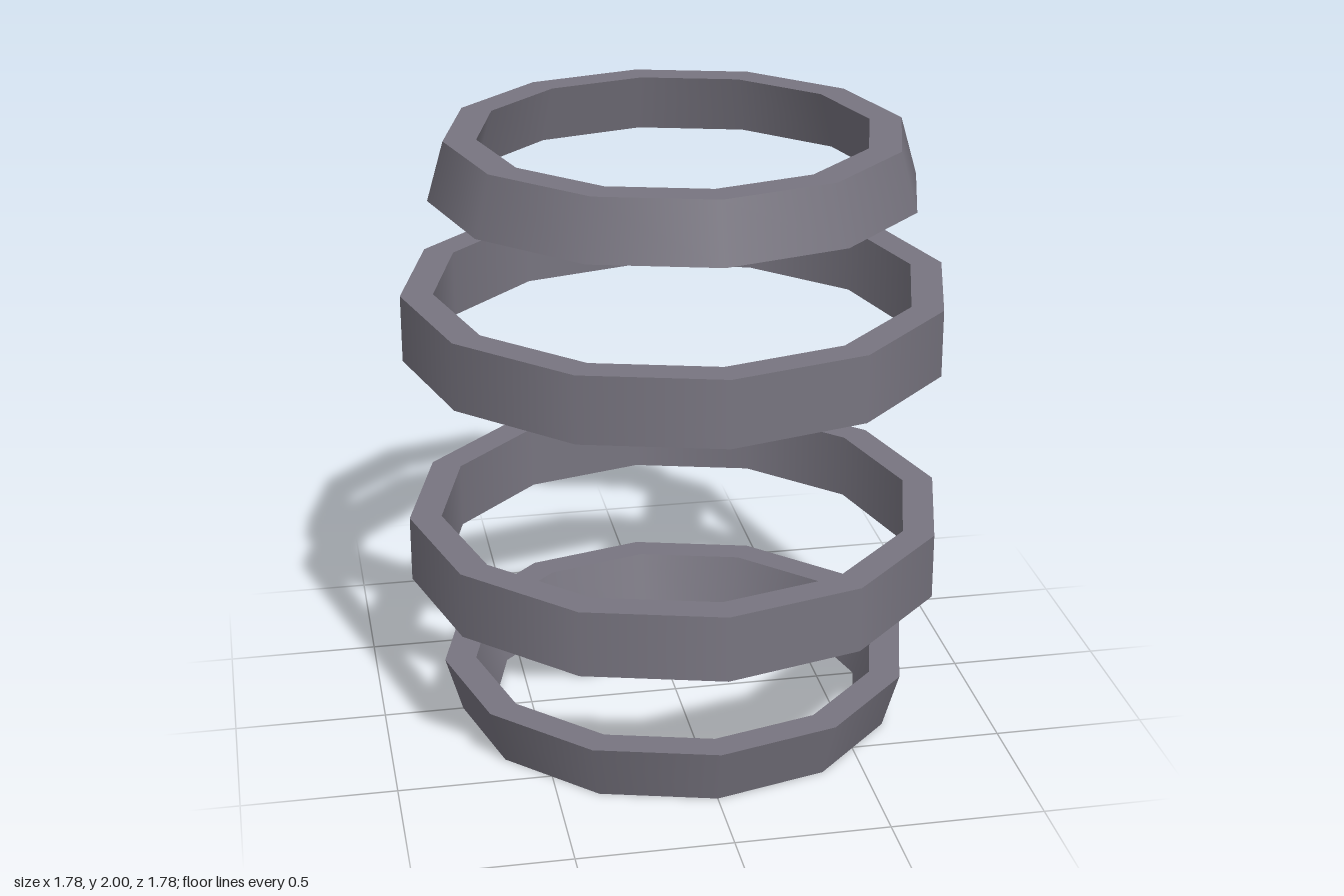
import * as THREE from 'three';
import { mergeGeometries } from 'three/addons/utils/BufferGeometryUtils.js';

const SIDES = 12;

// Ring with a four-cornered section; each wall is its own lathe so the rims stay sharp
function ringGeometry(yBottom, yTop, outerBottom, outerTop, wall) {
  const corners = [
    new THREE.Vector2(outerBottom, yBottom),
    new THREE.Vector2(outerTop, yTop),
    new THREE.Vector2(outerTop - wall, yTop),
    new THREE.Vector2(outerBottom - wall, yBottom),
  ];
  return mergeGeometries(corners.map((corner, i) =>
    new THREE.LatheGeometry([corner, corners[(i + 1) % 4]], SIDES)));
}

export function createModel() {
  const model = new THREE.Group();
  model.name = 'ringStack';
  const metal = new THREE.MeshStandardMaterial({ color: 0x787580 });
  metal.name = 'greyMetal';

  // name, bottom, top, outer radius at bottom, outer radius at top
  const rings = [
    ['bottomRing', 0, 0.19, 0.735, 0.79],
    ['lowerMiddleRing', 0.505, 0.725, 0.888, 0.888],
    ['upperMiddleRing', 1.28, 1.5, 0.888, 0.888],
    ['topRing', 1.81, 2, 0.79, 0.735],
  ];
  for (const [name, y0, y1, r0, r1] of rings) {
    const ring = new THREE.Mesh(ringGeometry(y0, y1, r0, r1, 0.105), metal);
    ring.name = name;
    model.add(ring);
  }
  return model;
}
